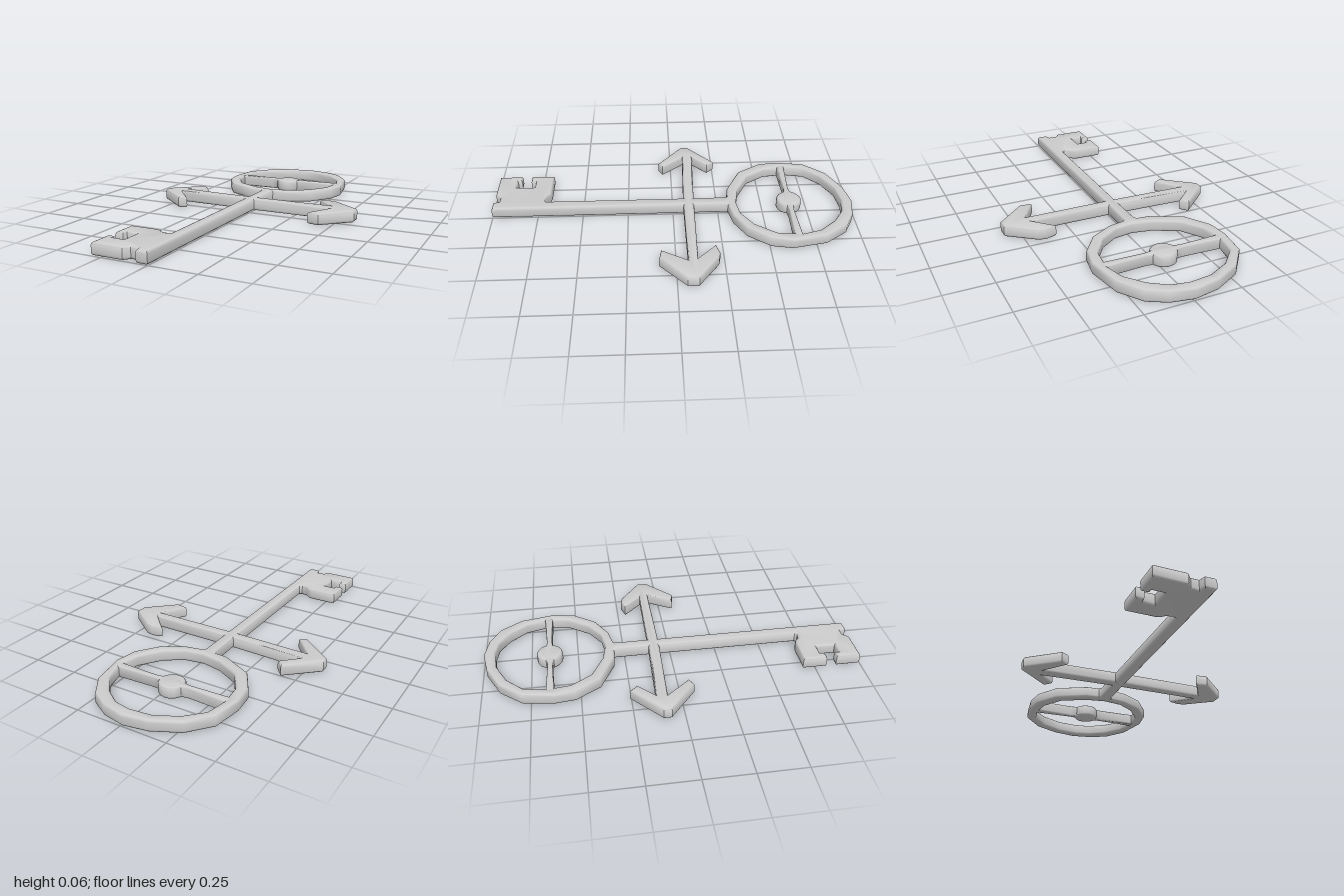
import * as THREE from 'three';
import { toCreasedNormals } from 'three/addons/utils/BufferGeometryUtils.js';

const HEIGHT = 0.065;
const material = new THREE.MeshStandardMaterial({ color: 0xcccccc });

// Outlines are [x, z] pairs seen from above; rims run one way, holes the other.
function toPoints(outline, clockwise) {
  const points = outline.map(([x, z]) => new THREE.Vector2(x, -z));
  return THREE.ShapeUtils.isClockWise(points) === clockwise ? points : points.reverse();
}

// Flat plate with rounded rims, lying on y = 0.
function plate(name, outline, { hole, bevel = 0.014 } = {}) {
  const shape = new THREE.Shape(toPoints(outline, false));
  if (hole) shape.holes.push(new THREE.Path(toPoints(hole, true)));
  const geometry = new THREE.ExtrudeGeometry(shape, {
    depth: HEIGHT - 2 * bevel,
    bevelEnabled: true,
    bevelThickness: bevel,
    bevelSize: bevel,
    bevelOffset: -bevel,
    bevelSegments: 3,
  });
  geometry.rotateX(-Math.PI / 2);
  geometry.translate(0, bevel, 0);
  const mesh = new THREE.Mesh(toCreasedNormals(geometry, 0.8), material);
  mesh.name = name;
  return mesh;
}

export function createModel() {
  const key = new THREE.Group();
  key.name = 'key';

  // Hand-shaped ring of the bow
  key.add(plate('bowRing', [
    [-0.01, -1], [0.11, -0.977], [0.208, -0.923], [0.289, -0.805],
    [0.324, -0.62], [0.303, -0.505], [0.217, -0.388], [0.1, -0.323],
    [-0.015, -0.3], [-0.145, -0.312], [-0.308, -0.395], [-0.388, -0.525],
    [-0.4, -0.635], [-0.377, -0.792], [-0.28, -0.908], [-0.14, -0.977],
  ], {
    hole: [
      [-0.01, -0.938], [0.08, -0.922], [0.165, -0.865], [0.24, -0.775],
      [0.27, -0.67], [0.255, -0.54], [0.177, -0.43], [0.08, -0.367],
      [-0.02, -0.351], [-0.13, -0.372], [-0.26, -0.44], [-0.33, -0.55],
      [-0.345, -0.67], [-0.323, -0.785], [-0.24, -0.87], [-0.125, -0.926],
    ],
  }));

  // Bar across the bow, thinnest where it meets the hub
  key.add(plate('bowBar', [
    [-0.365, -0.674], [-0.14, -0.663], [-0.105, -0.668], [-0.09, -0.685],
    [0.01, -0.685], [0.025, -0.668], [0.06, -0.664], [0.29, -0.674],
    [0.29, -0.63], [0.06, -0.637], [0.025, -0.632], [0.01, -0.615],
    [-0.09, -0.615], [-0.105, -0.632], [-0.14, -0.637], [-0.365, -0.63],
  ], { bevel: 0.01 }));

  // Round hub in the middle of the bow
  const hub = Array.from({ length: 16 }, (_, i) => {
    const a = (i / 16) * Math.PI * 2;
    return [-0.038 + 0.069 * Math.cos(a), -0.65 + 0.069 * Math.sin(a)];
  });
  key.add(plate('bowHub', hub));

  // Shaft with the notched bit in one outline
  key.add(plate('shaftAndBit', [
    [-0.085, -0.325], [-0.065, -0.295], [-0.063, -0.1], [-0.062, 0.705],
    [-0.075, 0.715], [-0.11, 0.708], [-0.13, 0.688], [-0.155, 0.682],
    [-0.305, 0.682], [-0.305, 0.812], [-0.262, 0.812], [-0.258, 0.785],
    [-0.2, 0.785], [-0.2, 0.888], [-0.262, 0.888], [-0.262, 0.865],
    [-0.305, 0.865], [-0.305, 0.995], [-0.135, 0.995], [-0.11, 0.965],
    [-0.07, 0.965], [-0.06, 1], [0, 1], [0, -0.295], [0.02, -0.325],
  ]));

  // Crossbar with an arrowhead at each end
  key.add(plate('arrowCrossbar', [
    [-0.587, -0.11], [-0.42, -0.257], [-0.382, -0.215], [-0.472, -0.132],
    [-0.035, -0.117], [0.44, -0.11], [0.34, -0.208], [0.4, -0.226],
    [0.44, -0.217], [0.587, -0.108], [0.587, -0.05], [0.437, 0.088],
    [0.372, 0.076], [0.452, -0.059], [-0.035, -0.058], [-0.478, -0.073],
    [-0.372, 0.05], [-0.415, 0.073], [-0.587, -0.068],
  ]));

  return key;
}
